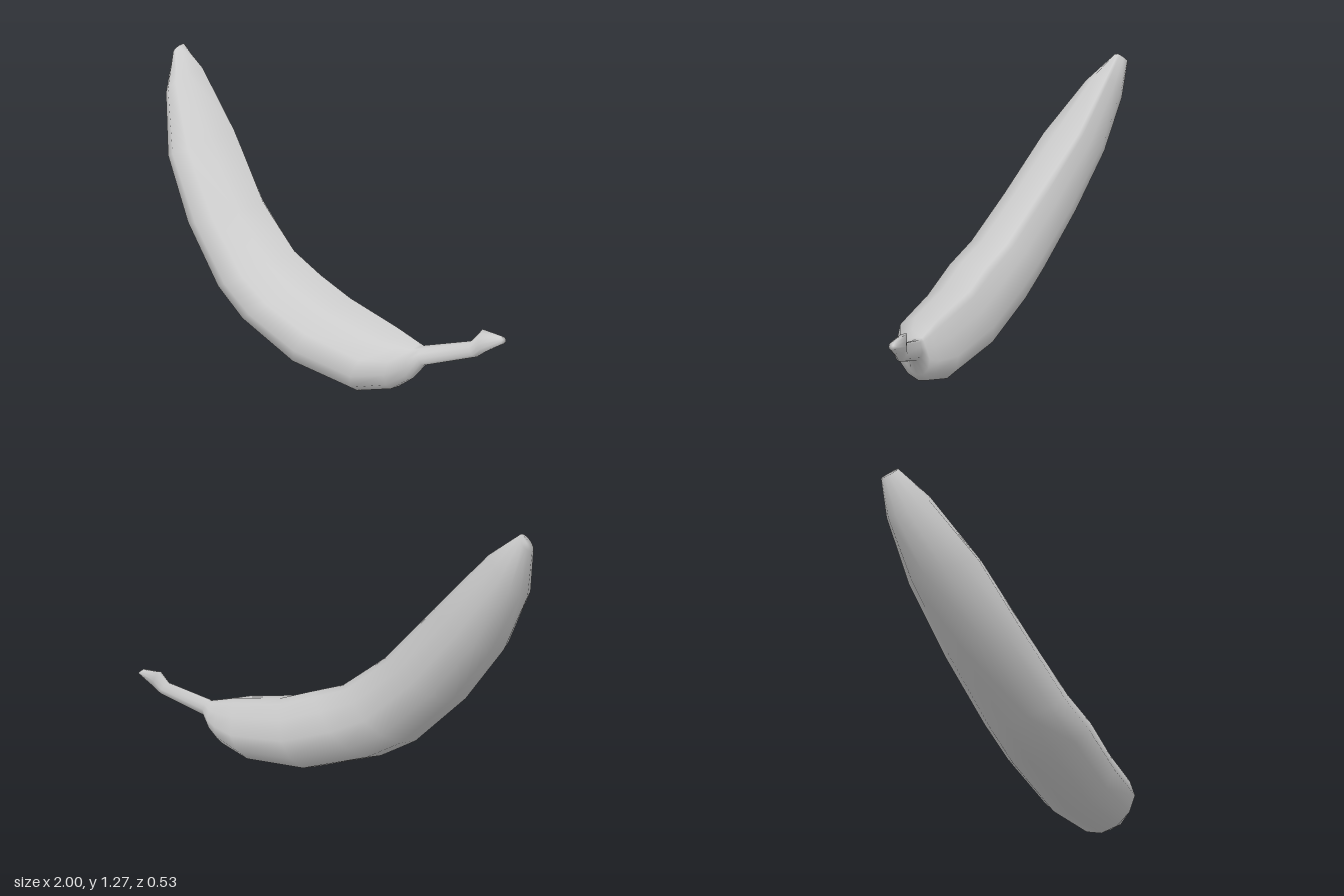
import * as THREE from 'three';

const SIDES = 12;

// Cross-sections from blossom tip to stem end:
// [inner x, inner y, outer x, outer y, centre z, half depth, z offset of the inner ridge]
const SECTIONS = [
  [-0.95, 1.275, -1.0, 1.21, -0.135, 0.042, 0],
  [-0.82, 1.18, -0.97, 1.02, -0.087, 0.103, -0.06],
  [-0.58, 0.93, -0.85, 0.77, -0.02, 0.17, -0.11],
  [-0.31, 0.66, -0.66, 0.51, 0.03, 0.188, -0.095],
  [-0.08, 0.49, -0.4, 0.25, 0.062, 0.194, -0.112],
  [0.09, 0.43, -0.22, 0.14, 0.06, 0.203, -0.115],
  [0.26, 0.37, 0.13, 0.015, 0.032, 0.194, -0.11],
  [0.52, 0.33, 0.45, 0.005, -0.01, 0.168, -0.09],
  [0.6, 0.31, 0.6, 0.065, -0.05, 0.115, -0.06],
  [0.65, 0.298, 0.65, 0.12, -0.085, 0.07, -0.03],
  [0.67, 0.295, 0.7, 0.21, -0.105, 0.04, -0.01],
  // thin stem with a thickened end
  [0.86, 0.375, 0.9, 0.31, -0.198, 0.028, 0],
  [0.89, 0.435, 0.93, 0.345, -0.215, 0.031, -0.018],
  [0.975, 0.437, 1.0, 0.41, -0.245, 0.02, 0],
];

// Depth of a section point: rounded, but with a flat face between ridge and back
function sectionZ(angle, depth, ridge) {
  const c = Math.cos(angle), s = Math.sin(angle);
  if (c <= 0) return depth * s;
  if (s >= 0) return ridge + (depth - ridge) * s;
  const t = THREE.MathUtils.lerp(1 - c, -s, 0.3);
  return ridge + (-depth - ridge) * t;
}

// Skins the row of sections and closes both ends with fans
function loft(sections) {
  const pos = [], index = [];
  for (const [ux, uy, lx, ly, cz, depth, ridge] of sections) {
    for (let j = 0; j < SIDES; j++) {
      const a = (j / SIDES) * Math.PI * 2, c = Math.cos(a);
      pos.push((ux + lx) / 2 + (c * (ux - lx)) / 2,
        (uy + ly) / 2 + (c * (uy - ly)) / 2,
        cz + sectionZ(a, depth, ridge));
    }
  }
  const last = (sections.length - 1) * SIDES;
  const ends = [sections[0], sections[sections.length - 1]];
  for (const s of ends) pos.push((s[0] + s[2]) / 2, (s[1] + s[3]) / 2, s[4]);
  for (let j = 0; j < SIDES; j++) {
    const k = (j + 1) % SIDES;
    for (let b = 0; b < last; b += SIDES) {
      index.push(b + j, b + k, b + SIDES + j, b + k, b + SIDES + k, b + SIDES + j);
    }
    index.push(last + SIDES, k, j, last + SIDES + 1, last + j, last + k);
  }
  const geo = new THREE.BufferGeometry();
  geo.setAttribute('position', new THREE.Float32BufferAttribute(pos, 3));
  geo.setIndex(index);
  geo.computeVertexNormals();
  return geo;
}

export function createModel() {
  const group = new THREE.Group();
  group.name = 'banana';
  const material = new THREE.MeshStandardMaterial({ color: 0xcccccc });

  // One continuous skin so the neck shades smoothly into the stem
  const fruit = new THREE.Mesh(loft(SECTIONS), material);
  fruit.name = 'fruitAndStem';
  group.add(fruit);
  return group;
}
